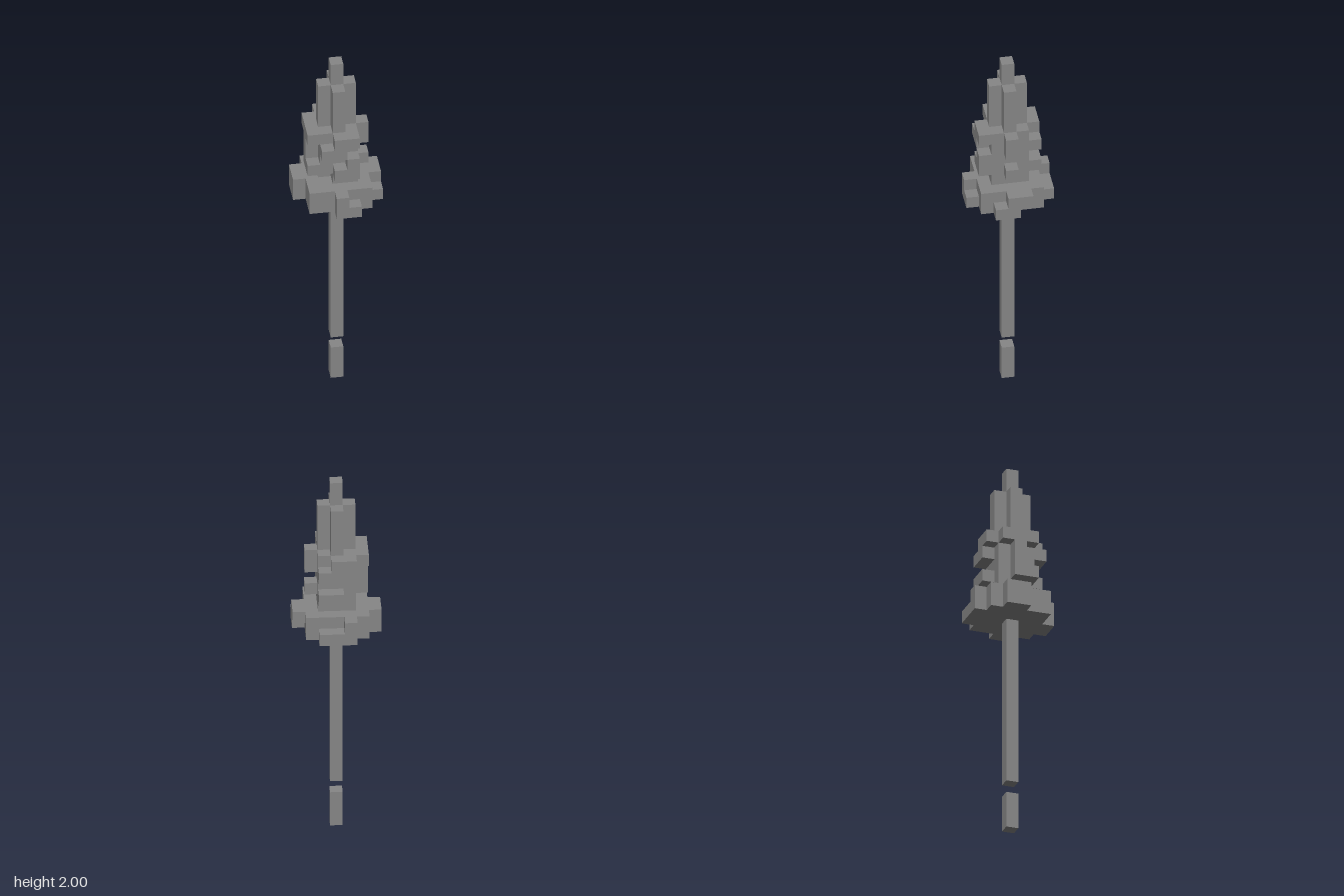
import * as THREE from 'three';
import { mergeGeometries } from 'three/addons/utils/BufferGeometryUtils.js';

const U = 2 / 31; // edge of one cube

// Each layer is a 7 x 7 map: rows run back to front, columns run -x to +x.
const core = ['.......', '.......', '..###..', '..###..', '..###..', '.......', '.......'];
const cross = ['.......', '.......', '...#...', '..###..', '...#...', '.......', '.......'];
const dot = ['.......', '.......', '.......', '...#...', '.......', '.......', '.......'];

const addCubes = (map, extra) => map.map((row, r) => [...row].map((c, i) =>
  extra.some(([x, z]) => x === i - 3 && z === r - 3) ? '#' : c).join(''));

const guardLower = ['..###..', '.#####.', '######.', '#######', '.######', '.#####.', '...##..'];
const guardUpper = ['..#....', '.#####.', '#######', '#######', '.#####.', '.#####.', '...#...'];

const collar = [
  ['.......', '.......', '..###..', '..###..', '...##..', '.......', '.......'],
  addCubes(core, [[0, 2], [1, 2], [-2, 0], [-2, 1], [2, 0], [0, -2], [1, -2]]),
  addCubes(core, [[1, 2], [-2, 0]]),
  addCubes(core, [[-1, 2], [0, 2], [-2, 0], [2, 0], [0, -2], [1, -2]]),
  addCubes(core, [[0, 2], [1, 2], [-2, -1], [-2, 0], [-2, 1], [2, 0], [-1, -2], [0, -2]]),
];

// name, first layer, layer maps
const repeat = (map, n) => Array(n).fill(map);
const parts = [
  ['poleFoot', 0, repeat(dot, 3)],
  ['pole', 4, repeat(dot, 14)],
  ['guard', 18, [guardLower, guardUpper]],
  ['collar', 20, collar],
  ['head', 25, repeat(cross, 4)],
  ['tip', 29, repeat(dot, 2)],
];

const directions = [[1, 0, 0], [-1, 0, 0], [0, 1, 0], [0, -1, 0], [0, 0, 1], [0, 0, -1]];

export function createModel() {
  const group = new THREE.Group();
  const grey = new THREE.MeshStandardMaterial({ color: 0x868686 });
  grey.name = 'grey';

  // Collect every filled cell
  const filled = new Set();
  const cellsOf = parts.map(([, base, layers]) => {
    const cells = [];
    layers.forEach((map, j) => map.forEach((row, r) => [...row].forEach((c, i) => {
      if (c !== '#') return;
      const cell = [i - 3, base + j, r - 3];
      cells.push(cell);
      filled.add(cell.join());
    })));
    return cells;
  });

  // One square for each exposed cube side
  const front = new THREE.Vector3(0, 0, 1);
  parts.forEach(([name], p) => {
    const faces = [];
    for (const [x, y, z] of cellsOf[p]) {
      for (const [dx, dy, dz] of directions) {
        if (filled.has([x + dx, y + dy, z + dz].join())) continue;
        const turn = dz === -1
          ? new THREE.Quaternion().setFromAxisAngle(new THREE.Vector3(0, 1, 0), Math.PI)
          : new THREE.Quaternion().setFromUnitVectors(front, new THREE.Vector3(dx, dy, dz));
        const face = new THREE.PlaneGeometry(U, U).applyQuaternion(turn);
        face.translate((x + dx / 2) * U, (y + 0.5 + dy / 2) * U, (z + dz / 2) * U);
        faces.push(face);
      }
    }
    const mesh = new THREE.Mesh(mergeGeometries(faces), grey);
    mesh.name = name;
    group.add(mesh);
  });
  return group;
}
